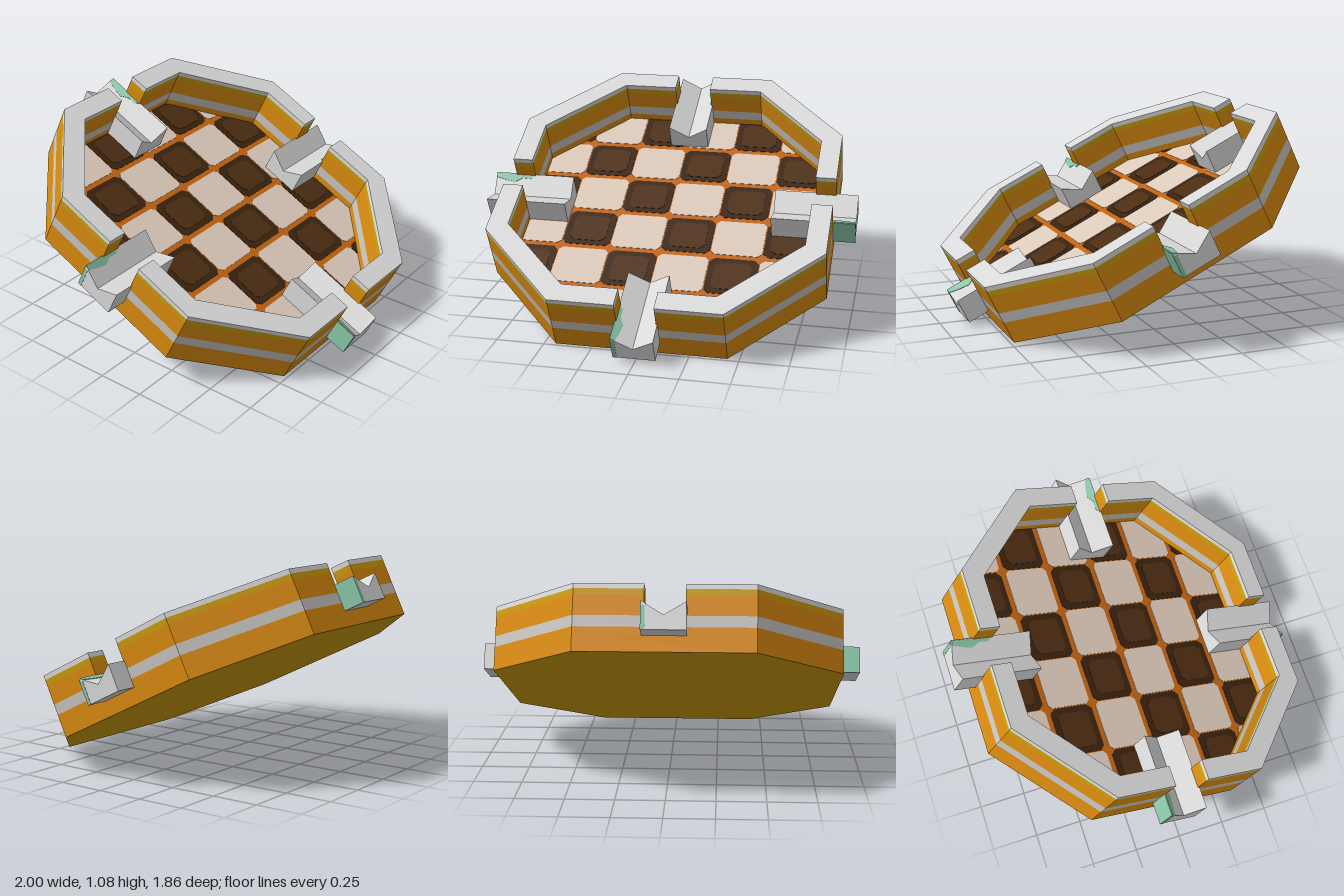
import * as THREE from 'three';

const mat = (name, color) => {
  const m = new THREE.MeshStandardMaterial({ color });
  m.name = name;
  return m;
};

export function createModel() {
  const orange = mat('orange wall', 0xd6880f);
  const gold = mat('gold', 0xc8980a);
  const stone = mat('stone grey', 0xd8d8d8);
  const band = mat('band grey', 0xc4c2be);
  const grout = mat('grout', 0xc06210);
  const cream = mat('cream tile', 0xdac8b8);
  const dark = mat('dark tile', 0x3a220e);
  const brown = mat('brown tile centre', 0x4c2d12);
  const green = mat('patina green', 0x88c4a6);

  const model = new THREE.Group();
  model.name = 'octagonalBasin';
  // The whole basin leans forward
  const basin = new THREE.Group();
  basin.name = 'tiltedBasin';
  basin.position.set(0, 0.3875, -0.065);
  basin.rotation.x = 0.4538;
  model.add(basin);

  const add = (parent, name, geometry, material) => {
    const mesh = new THREE.Mesh(geometry, material);
    mesh.name = name;
    parent.add(mesh);
    return mesh;
  };
  // Flat slab from [x, z] points, between heights y0 and y1
  const slab = (pts, y0, y1) => {
    const shape = new THREE.Shape(pts.map(([x, z]) => new THREE.Vector2(x, -z)));
    const g = new THREE.ExtrudeGeometry(shape, { depth: y1 - y0, bevelEnabled: false });
    return g.rotateX(-Math.PI / 2).translate(0, y0, 0);
  };

  const R = 0.885, C = 0.44;      // outer apothem and half edge
  const r = 0.776, c = 0.39;      // inner apothem and half edge
  const floorY = 0.08, gap = 0.1;

  // Base slab and grout bed
  const octagon = (a, b) => [[b, a], [a, b], [a, -b], [b, -a], [-b, -a], [-a, -b], [-a, b], [-b, a]];
  add(basin, 'base', slab(octagon(R, C), 0, floorY), [gold, orange]);
  add(basin, 'groutBed', slab(octagon(r, c), floorY, floorY + 0.003), grout);

  // Four wall corners, stacked in coloured layers, with a notch on each main side
  const corner = [[gap, R], [C, R], [R, C], [R, gap], [r, gap], [r, c], [c, r], [gap, r]];
  const layers = [
    ['lowerWall', floorY, 0.122, orange],
    ['wallBand', 0.122, 0.178, band],
    ['upperWall', 0.178, 0.28, orange],
    ['goldStripe', 0.28, 0.31, gold],
    ['wallLip', 0.31, 0.335, stone],
  ];
  for (let k = 0; k < 4; k++) {
    const wall = new THREE.Group();
    wall.name = 'wallCorner' + (k + 1);
    wall.rotation.y = k * Math.PI / 2;
    basin.add(wall);
    for (const [name, y0, y1, m] of layers) add(wall, name, slab(corner, y0, y1), m);
  }

  // Checkered floor: tiles with cut corners, clipped to the inner octagon
  const planes = [[1, 0, r], [-1, 0, r], [0, 1, r], [0, -1, r]];
  for (const a of [1, -1]) for (const b of [1, -1]) planes.push([a, b, r + c]);
  const clip = (pts) => {
    for (const [a, b, d] of planes) {
      const out = [];
      pts.forEach((p, i) => {
        const q = pts[(i + 1) % pts.length];
        const dp = a * p[0] + b * p[1] - d, dq = a * q[0] + b * q[1] - d;
        if (dp <= 0) out.push(p);
        if (dp * dq < 0) {
          const t = dp / (dp - dq);
          out.push([p[0] + (q[0] - p[0]) * t, p[1] + (q[1] - p[1]) * t]);
        }
      });
      pts = out;
    }
    return pts;
  };
  const tile = (name, x, z, hx, hz, cut, y, m) => {
    const pts = clip([
      [hx - cut, hz], [hx, hz - cut], [hx, cut - hz], [hx - cut, -hz],
      [cut - hx, -hz], [-hx, cut - hz], [-hx, hz - cut], [cut - hx, hz],
    ].map(([a, b]) => [x + a, z + b]));
    if (pts.length > 2) add(basin, name, slab(pts, floorY + 0.002, floorY + y), m);
  };
  const S = 0.272;
  for (let i = -3; i < 3; i++) {
    for (let j = -3; j < 3; j++) {
      const x = -0.015 + (i + 0.5) * S, z = 0.008 + (j + 0.5) * S;
      if ((i + j) % 2 === 0) {
        tile('darkTile', x, z, 0.131, 0.122, 0.025, 0.005, dark);
        tile('darkTileCentre', x, z, 0.098, 0.09, 0.025, 0.007, brown);
      } else {
        tile('creamTile', x, z, 0.136, 0.122, 0.02, 0.005, cream);
      }
    }
  }

  // Four V-channel spouts, each with green patina on one side
  const W = 0.107, top = 0.218, vee = 0.152;
  const section = new THREE.Shape([[-W, floorY], [W, floorY], [W, top], [0, vee], [-W, top]]
    .map(([x, y]) => new THREE.Vector2(x, y)));
  const blot = [[0.78, 0.125], [0.8, 0.1], [0.85, 0.102], [0.89, 0.078], [0.94, 0.085], [1, 0.1], [1, 0.125]];
  const slope = Math.atan2(top - vee, W);
  for (let k = 0; k < 4; k++) {
    const spout = new THREE.Group();
    spout.name = 'spout' + (k + 1);
    spout.rotation.y = k * Math.PI / 2;
    basin.add(spout);
    const g = new THREE.ExtrudeGeometry(section, { depth: 0.44, bevelEnabled: false });
    add(spout, 'spoutChannel', g.rotateY(Math.PI / 2).translate(0.56, 0, 0), stone);
    const side = new THREE.BoxGeometry(0.113, top - floorY, 0.004);
    add(spout, 'sidePatina', side.translate(0.9445, (top + floorY) / 2, W), green);
    const end = new THREE.BoxGeometry(0.004, 0.118, 0.02);
    add(spout, 'endPatina', end.translate(0.9995, floorY + 0.059, W - 0.009), green);
    const patch = add(spout, 'channelPatina', slab(blot, 0, 0.003), green);
    patch.position.y = vee;
    patch.rotation.x = -slope;
  }
  return model;
}
